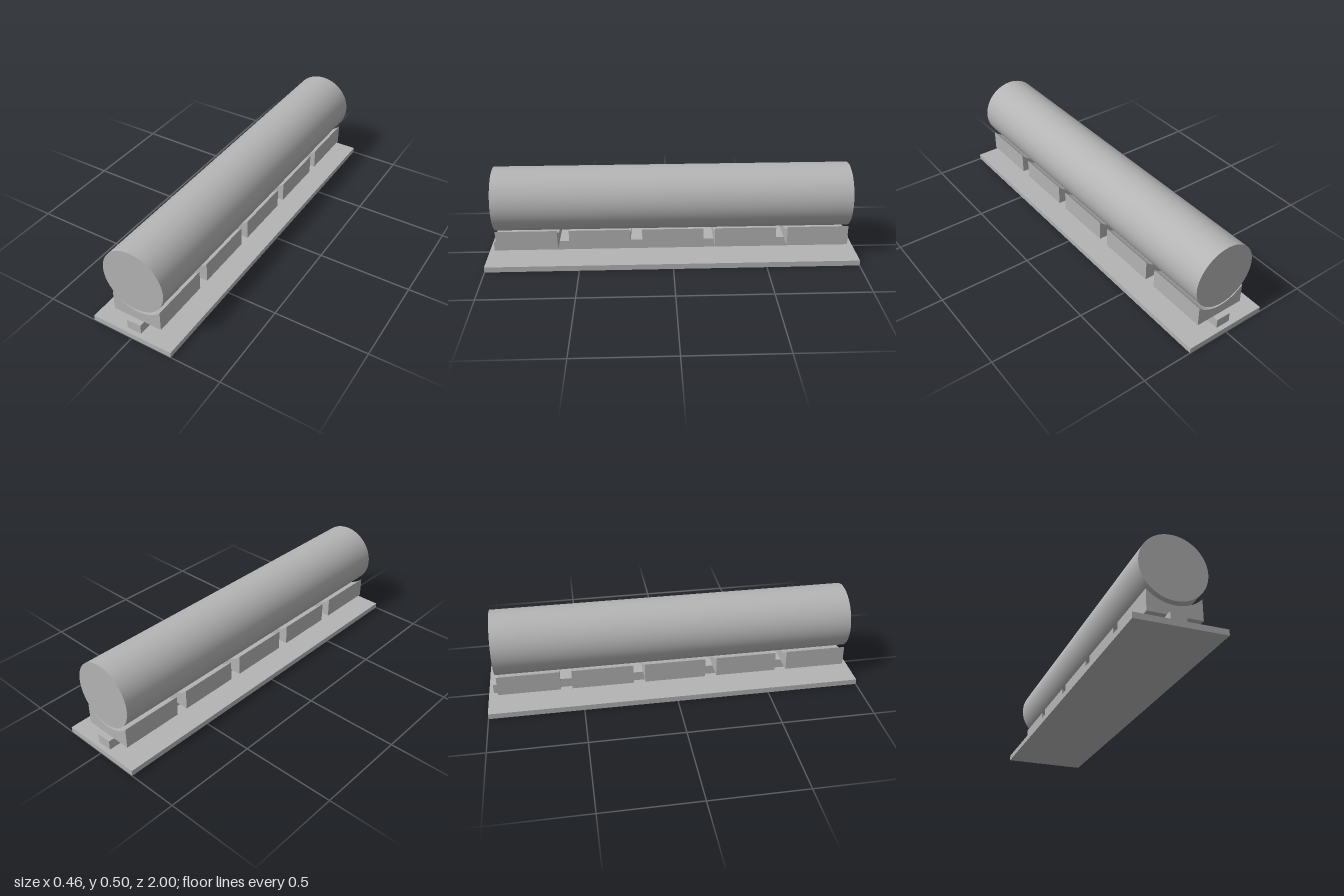
import * as THREE from 'three';

export function createModel() {
  const model = new THREE.Group();
  const grey = new THREE.MeshStandardMaterial({ color: 0xb4b4b4 });
  grey.name = 'plain grey';

  const add = (name, geometry, x, y, z) => {
    const mesh = new THREE.Mesh(geometry, grey);
    mesh.name = name;
    mesh.position.set(x, y, z);
    model.add(mesh);
    return mesh;
  };

  // Base plate and the narrow rail along its middle
  add('basePlate', new THREE.BoxGeometry(0.456, 0.03, 2), 0, 0.015, 0);
  add('rail', new THREE.BoxGeometry(0.08, 0.052, 1.95), 0, 0.056, 0);

  // Saddle blocks with a concave top, concentric with the cylinder
  const axisY = 0.325, arcRadius = 0.191, halfWidth = 0.137, bottom = 0.082, length = 0.328;
  const angle = Math.acos(halfWidth / arcRadius);
  const profile = new THREE.Shape();
  profile.moveTo(-halfWidth, bottom);
  profile.lineTo(halfWidth, bottom);
  profile.lineTo(halfWidth, axisY - arcRadius * Math.sin(angle));
  profile.absarc(0, axisY, arcRadius, -angle, -Math.PI + angle, true);
  profile.closePath();
  const saddle = new THREE.ExtrudeGeometry(profile, {
    depth: length, bevelEnabled: false, curveSegments: 32,
  });
  saddle.translate(0, 0, -length / 2);
  for (let i = -2; i <= 2; i++) add('saddleBlock' + (i + 3), saddle, 0, 0, i * 0.39);

  // Long cylinder floating just above the saddles
  const cylinder = new THREE.CylinderGeometry(0.172, 0.172, 1.9, 96);
  cylinder.rotateX(Math.PI / 2);
  add('cylinder', cylinder, 0, axisY, 0);

  return model;
}
